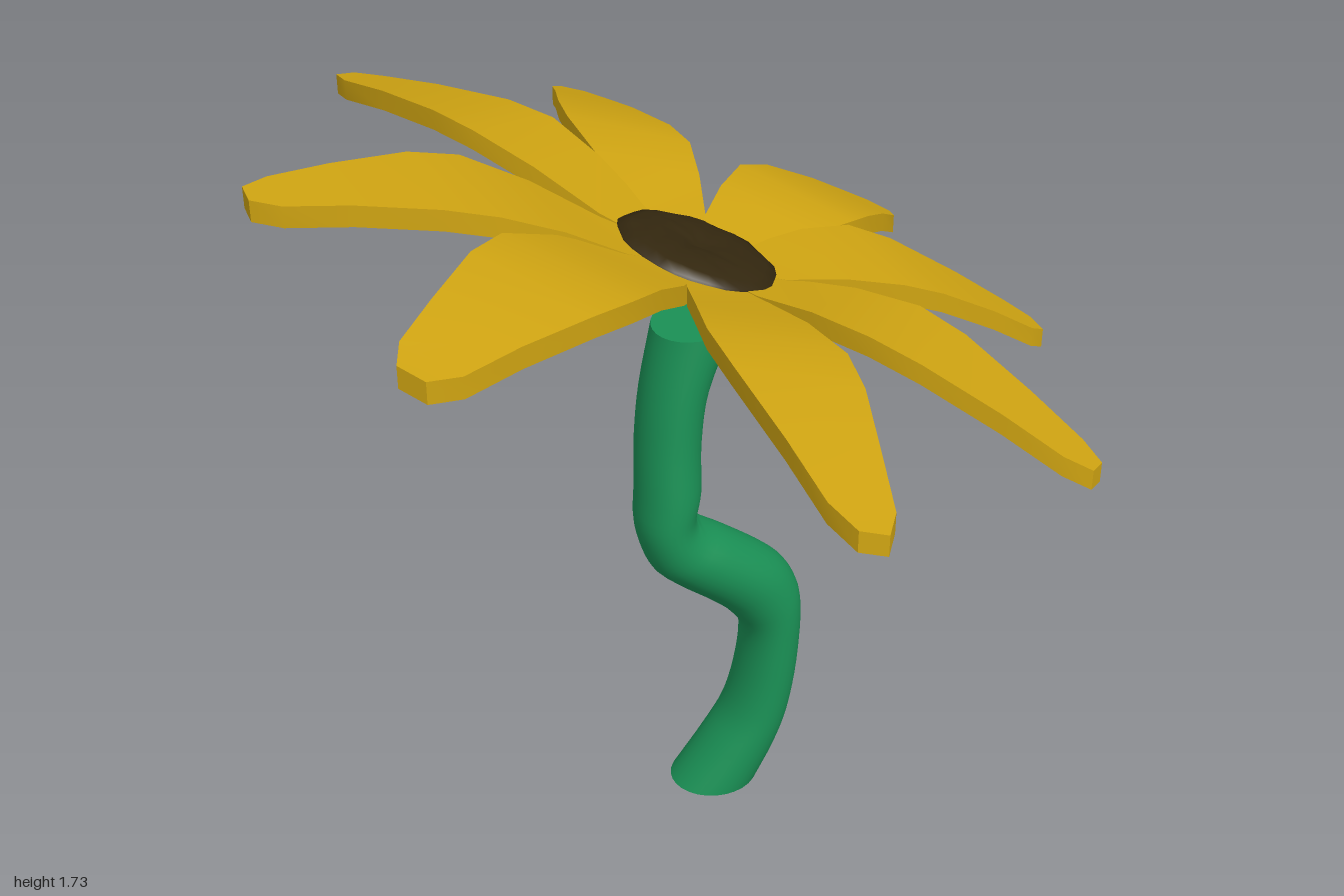
import * as THREE from 'three';
import { toCreasedNormals, mergeVertices } from 'three/addons/utils/BufferGeometryUtils.js';

const TILT = 0.37; // slope of the flower head towards +x
const CENTER = new THREE.Vector3(0.04, 1.43, -0.035);

const material = (color) => new THREE.MeshStandardMaterial({ color, roughness: 0.8 });

// Closed solid through rings of points, each counter-clockwise seen from its travel direction
function loft(rings, crease) {
  const n = rings[0].length, last = (rings.length - 1) * n, index = [];
  for (let i = 0; i < rings.length - 1; i++) {
    for (let j = 0; j < n; j++) {
      const a = i * n + j, b = i * n + (j + 1) % n;
      index.push(a, b, b + n, a, b + n, a + n);
    }
  }
  for (let j = 1; j < n - 1; j++) {
    index.push(0, j + 1, j, last, last + j, last + j + 1);
  }
  const geometry = new THREE.BufferGeometry().setFromPoints(rings.flat());
  geometry.setIndex(index);
  return toCreasedNormals(geometry, crease);
}

// Stem: rings spanned between its left and right outlines
function createStem() {
  const left = [[-0.02, 0], [0.06, 0.11], [0.115, 0.2], [0.145, 0.32], [0.15, 0.43], [0.11, 0.5], [0.05, 0.56],
    [-0.03, 0.63], [-0.085, 0.69], [-0.114, 0.786], [-0.112, 0.88], [-0.105, 1], [-0.09, 1.12], [-0.06, 1.265]];
  const right = [[0.19, 0], [0.235, 0.1], [0.265, 0.2], [0.285, 0.34], [0.29, 0.49], [0.27, 0.57], [0.22, 0.64],
    [0.11, 0.73], [0.045, 0.775], [0.02, 0.81], [0.033, 0.88], [0.038, 1], [0.06, 1.13], [0.125, 1.285]];
  const sway = [-0.025, -0.025, -0.025, -0.025, -0.025, -0.02, -0.01, 0.005, 0.01, 0.01, 0.005, -0.01, -0.02, -0.03];
  const curve = (side) => new THREE.CatmullRomCurve3(
    side.map(([x, y], i) => new THREE.Vector3(x, y, sway[i])), false, 'catmullrom', 0.5);
  const l = curve(left), r = curve(right), rings = [];
  for (let i = 0; i <= 52; i++) {
    const a = l.getPoint(i / 52), b = r.getPoint(i / 52);
    const c = a.clone().add(b).multiplyScalar(0.5), h = b.sub(c), ring = [];
    for (let j = 0; j < 28; j++) {
      const t = j / 28 * Math.PI * 2;
      ring.push(c.clone().addScaledVector(h, Math.cos(t)).add(new THREE.Vector3(0, 0, -0.095 * Math.sin(t))));
    }
    rings.push(ring);
  }
  return new THREE.Mesh(loft(rings, 0.9), material(0x1a9055));
}

// Petal: flat blade arching up, then drooping to a blunt tip
function createPetal(tipX, tipZ, mat) {
  const sections = [ // share of length, half width, lift above the head's plane
    [0.05, 0.04, -0.035], [0.2, 0.085, -0.015], [0.35, 0.118, 0.025], [0.5, 0.143, 0.045], [0.62, 0.132, 0.035],
    [0.8, 0.094, -0.005], [0.94, 0.066, -0.045], [1, 0.03, -0.06]];
  const dx = tipX - CENTER.x, dz = tipZ - CENTER.z, length = Math.hypot(dx, dz);
  const rings = sections.map(([t, w, lift]) =>
    [[1, -1], [1, 1], [-1, 1], [-1, -1]].map(([side, up]) => {
      const x = dx * t + side * w * dz / length, z = dz * t - side * w * dx / length;
      return new THREE.Vector3(x, lift - TILT * x + up * 0.023, z).add(CENTER);
    }));
  return new THREE.Mesh(loft(rings, 0.45), mat);
}

// Seed disc: low dome with a small dimple and an uneven surface
function createSeedDisc() {
  const profile = [[0, -0.06], [0.1, -0.06], [0.165, -0.045], [0.182, -0.015], [0.175, 0.008], [0.15, 0.018],
    [0.12, 0.024], [0.09, 0.027], [0.06, 0.026], [0.03, 0.022], [0, 0.012]];
  const lathe = new THREE.LatheGeometry(profile.map(([r, y]) => new THREE.Vector2(r, y)), 30);
  lathe.deleteAttribute('uv');
  lathe.deleteAttribute('normal');
  const geometry = mergeVertices(lathe, 1e-4), p = geometry.attributes.position;
  for (let i = 0; i < p.count; i++) {
    const x = p.getX(i), z = p.getZ(i);
    const k = 1 + 0.02 * Math.sin(9 * Math.atan2(z, x));
    p.setXYZ(i, x * k, p.getY(i) + 0.003 * Math.sin(x * 90) * Math.cos(z * 80), z * k);
  }
  geometry.computeVertexNormals();
  const disc = new THREE.Mesh(geometry, material(0x33270f));
  disc.position.copy(CENTER);
  disc.rotation.z = -Math.atan(TILT);
  return disc;
}

export function createModel() {
  const model = new THREE.Group();
  model.name = 'flower';

  const stem = createStem();
  stem.name = 'stem';
  model.add(stem);

  const head = new THREE.Group();
  head.name = 'flowerHead';
  const yellow = material(0xcfa412);
  const tips = [[0.88, -0.08], [0.715, -0.63], [0.05, -1], [-0.54, -0.77],
    [-0.88, 0.005], [-0.71, 0.65], [0.02, 0.99], [0.68, 0.6]];
  tips.forEach(([x, z], i) => {
    const petal = createPetal(x, z, yellow);
    petal.name = `petal${i + 1}`;
    head.add(petal);
  });
  const disc = createSeedDisc();
  disc.name = 'seedDisc';
  head.add(disc);
  model.add(head);
  return model;
}
